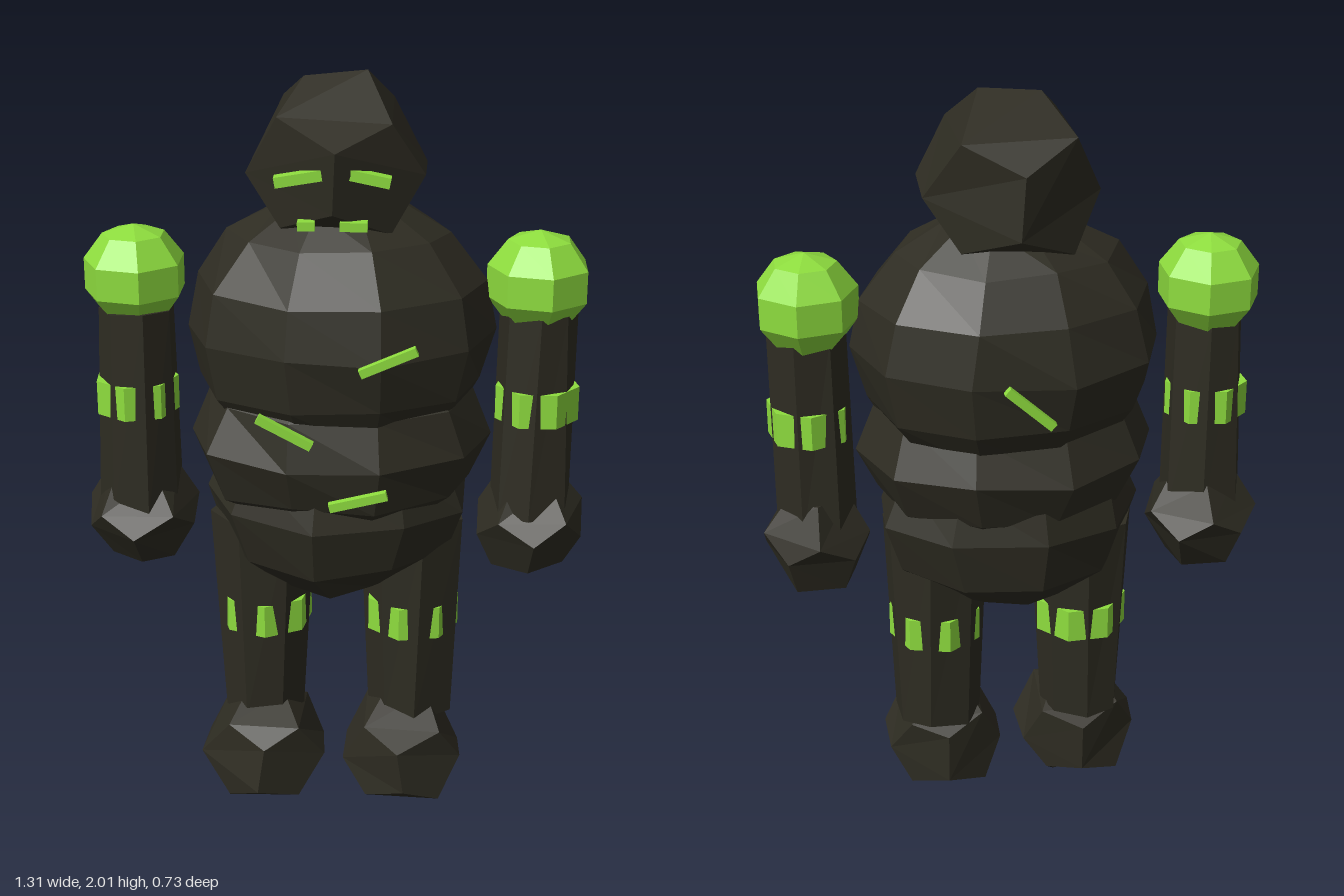
import * as THREE from 'three';

export function createModel() {
  const model = new THREE.Group();
  model.name = 'stoneGolem';
  const stone = new THREE.MeshStandardMaterial({ color: 0x2e2c22 });
  stone.name = 'dark stone';
  const moss = new THREE.MeshStandardMaterial({ color: 0x8edd3e });
  moss.name = 'bright green';

  // Repeatable noise from a position, so shared corners move together
  const noise = (x, y, z, k) => {
    const r = (v) => Math.round(v * 500);
    const s = Math.sin(r(x) * 12.9898 + r(y) * 78.233 + r(z) * 37.719 + k * 11.13) * 43758.5453;
    return (s - Math.floor(s)) * 2 - 1;
  };

  // Roughened, faceted part
  function add(parent, name, geometry, material, pos, rough = 0, seed = 1) {
    const geo = geometry.index ? geometry.toNonIndexed() : geometry;
    const p = geo.attributes.position;
    for (let i = 0; rough && i < p.count; i++) {
      const x = p.getX(i), y = p.getY(i), z = p.getZ(i);
      p.setXYZ(i,
        x + rough * noise(x, y, z, seed),
        y + rough * noise(x, y, z, seed + 1),
        z + rough * noise(x, y, z, seed + 2));
    }
    geo.computeVertexNormals();
    const mesh = new THREE.Mesh(geo, material);
    mesh.name = name;
    mesh.position.set(...pos);
    parent.add(mesh);
    return mesh;
  }
  const boulder = (rx, ry, rz) => new THREE.DodecahedronGeometry(1).scale(rx, ry, rz);
  const ball = (rx, ry, rz, w, h) => new THREE.SphereGeometry(1, w, h).scale(rx, ry, rz);

  // Torso: chest, belly and pelvis
  add(model, 'chest', ball(0.395, 0.355, 0.335, 10, 8), stone, [0, 1.36, 0], 0.009, 3);
  add(model, 'belly', ball(0.39, 0.25, 0.315, 10, 6), stone, [0, 1.08, 0.015], 0.011, 5);
  add(model, 'pelvis', ball(0.345, 0.265, 0.29, 9, 6), stone, [0, 0.9, 0], 0.012, 8);

  // Head
  add(model, 'head', boulder(0.235, 0.235, 0.255), stone, [-0.01, 1.78, 0], 0.012, 4);

  // Glowing bars: [name, x, y, z, length, height, depth, tilt]
  const bars = [
    ['rightEye', -0.09, 1.792, 0.205, 0.115, 0.026, 0.034, 0.17],
    ['leftEye', 0.075, 1.795, 0.205, 0.11, 0.026, 0.034, -0.2],
    ['mouthRight', -0.072, 1.677, 0.205, 0.042, 0.022, 0.03, 0],
    ['mouthLeft', 0.042, 1.677, 0.205, 0.066, 0.022, 0.03, 0],
    ['chestCrack', 0.132, 1.38, 0.335, 0.148, 0.022, 0.02, 0.42],
    ['bellyCrack', -0.117, 1.204, 0.355, 0.148, 0.022, 0.02, -0.49],
    ['lowerCrack', 0.062, 1.027, 0.355, 0.145, 0.022, 0.02, 0.25],
    ['backCrack', -0.008, 1.325, -0.355, 0.15, 0.022, 0.02, 0.73],
  ];
  for (const [name, x, y, z, w, h, d, tilt] of bars) {
    add(model, name, new THREE.BoxGeometry(w, h, d), moss, [x, y, z]).rotation.z = tilt;
  }

  for (const side of [1, -1]) {
    const label = side > 0 ? 'left' : 'right';
    const turn = side > 0 ? 0 : 0.3;

    // Arm: shoulder ball, limb, embedded band and fist
    const arm = new THREE.Group();
    arm.name = label + 'Arm';
    arm.position.x = side > 0 ? 0.498 : -0.522;
    model.add(arm);
    add(arm, 'shoulder', ball(0.137, 0.132, 0.143, 7, 5), moss, [0, 1.488, 0]);
    add(arm, 'limb', new THREE.CylinderGeometry(0.1, 0.112, 0.54, 7, 1, false, turn),
      stone, [0, 1.14, 0.01], 0.008, 6 + side);
    add(arm, 'band', new THREE.CylinderGeometry(0.109, 0.109, 0.09, 7, 1, false, turn + Math.PI / 7),
      moss, [side * 0.006, 1.175, 0.01]);
    const fist = add(arm, 'fist', boulder(0.153, 0.153, 0.153), stone, [0, 0.842, 0], 0.009, 9 + side);
    fist.rotation.x = 0.5536;

    // Leg: limb, embedded band and foot
    const leg = new THREE.Group();
    leg.name = label + 'Leg';
    leg.position.x = side > 0 ? 0.192 : -0.2;
    model.add(leg);
    add(leg, 'limb', new THREE.CylinderGeometry(0.137, 0.113, 0.58, 7, 1, false, turn + 0.2),
      stone, [0, 0.565, 0], 0.01, 12 + side);
    add(leg, 'band', new THREE.CylinderGeometry(0.125, 0.125, 0.09, 7, 1, false, turn + 0.2 + Math.PI / 7),
      moss, [0, 0.57, 0]);
    add(leg, 'foot', boulder(0.174, 0.172, 0.178), stone,
      [side > 0 ? -0.02 : 0, 0.17, 0.055], 0.011, 15 + side);
  }
  return model;
}
